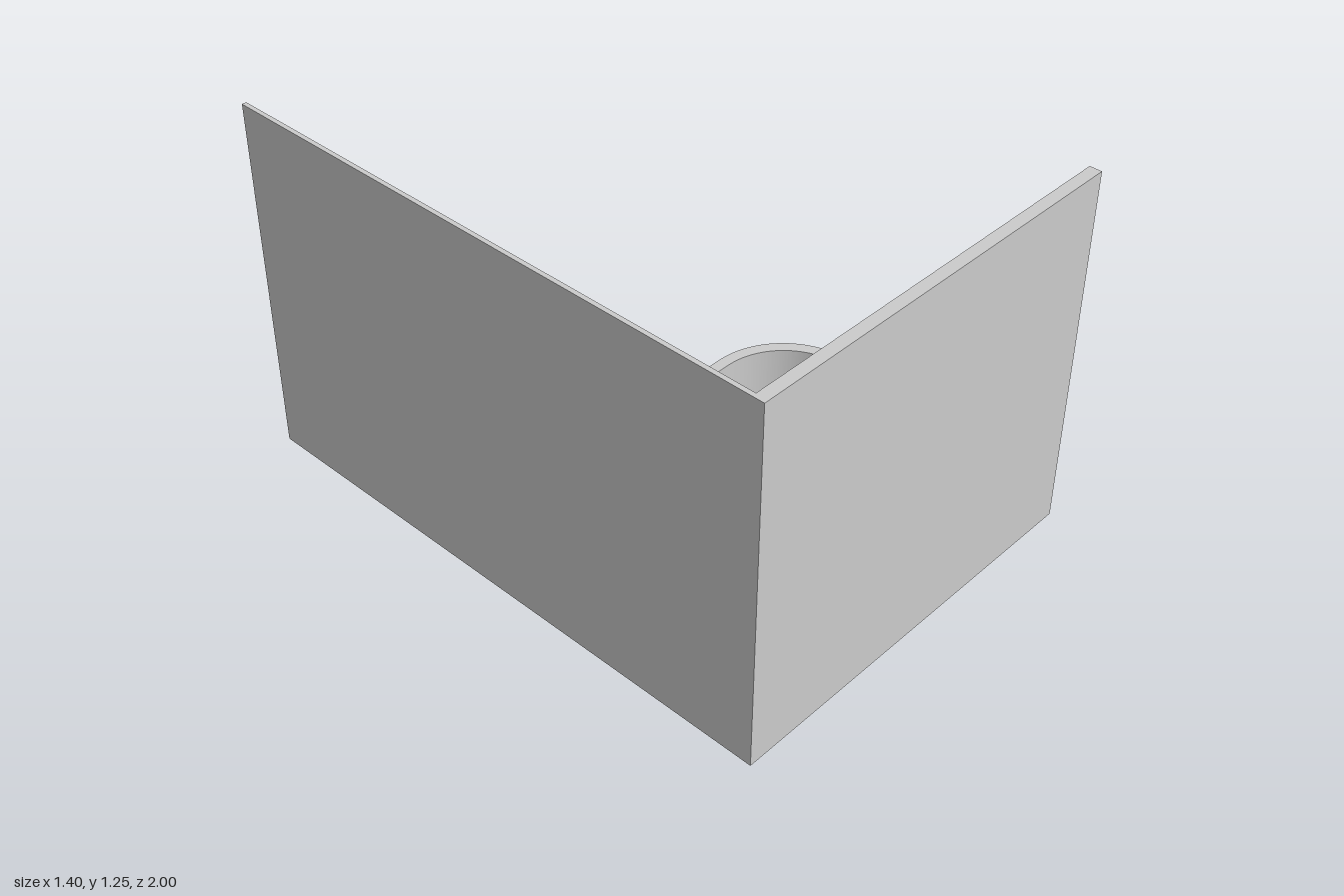
import * as THREE from 'three';
import { toCreasedNormals } from 'three/addons/utils/BufferGeometryUtils.js';

const material = new THREE.MeshStandardMaterial({ color: 0xcccccc });

// Inner faces of the two walls, which the tray butts against
const WALL_X = -0.685, WALL_Z = 0.96;
const HEIGHT = 1.25, RIM_HEIGHT = 0.22, FLOOR = 0.04, RIM = 0.04;

function addMesh(group, name, geometry) {
  const mesh = new THREE.Mesh(geometry, material);
  mesh.name = name;
  group.add(mesh);
  return mesh;
}

function addWall(group, name, x0, x1, z0, z1) {
  const wall = addMesh(group, name, new THREE.BoxGeometry(x1 - x0, HEIGHT, z1 - z0));
  wall.position.set((x0 + x1) / 2, HEIGHT / 2, (z0 + z1) / 2);
}

// Plan is drawn with shape y = -z, then raised from y0 to y1
function raise(shape, y0, y1) {
  const geometry = new THREE.ExtrudeGeometry(shape, { depth: y1 - y0, bevelEnabled: false, curveSegments: 32 });
  geometry.rotateX(-Math.PI / 2).translate(0, y0, 0);
  return toCreasedNormals(geometry, Math.PI / 6);
}

export function createModel() {
  const group = new THREE.Group();
  group.name = 'cornerTray';

  // Tall walls meeting at a right angle
  addWall(group, 'frontWall', -0.7, 0.7, WALL_Z, 1);
  addWall(group, 'sideWall', -0.7, WALL_X, -1, WALL_Z);

  // Outline of the tray, with one rounded outer corner
  const right = 0.65, back = 0.08, radius = 0.29;
  const cx = right - radius, cy = back - radius;

  // Floor slab, filling the inside of the rim
  const inner = radius - RIM;
  const floor = new THREE.Shape();
  floor.moveTo(WALL_X, -WALL_Z);
  floor.lineTo(right - RIM, -WALL_Z);
  floor.absarc(cx, cy, inner, 0, Math.PI / 2, false);
  floor.lineTo(WALL_X, back - RIM);
  floor.closePath();
  addMesh(group, 'trayFloor', raise(floor, 0, FLOOR));

  // Upright rim, following the two free sides
  const rim = new THREE.Shape();
  rim.moveTo(right - RIM, -WALL_Z);
  rim.lineTo(right, -WALL_Z);
  rim.absarc(cx, cy, radius, 0, Math.PI / 2, false);
  rim.lineTo(WALL_X, back);
  rim.lineTo(WALL_X, back - RIM);
  rim.absarc(cx, cy, inner, Math.PI / 2, 0, true);
  rim.closePath();
  addMesh(group, 'trayRim', raise(rim, 0, RIM_HEIGHT));

  return group;
}
